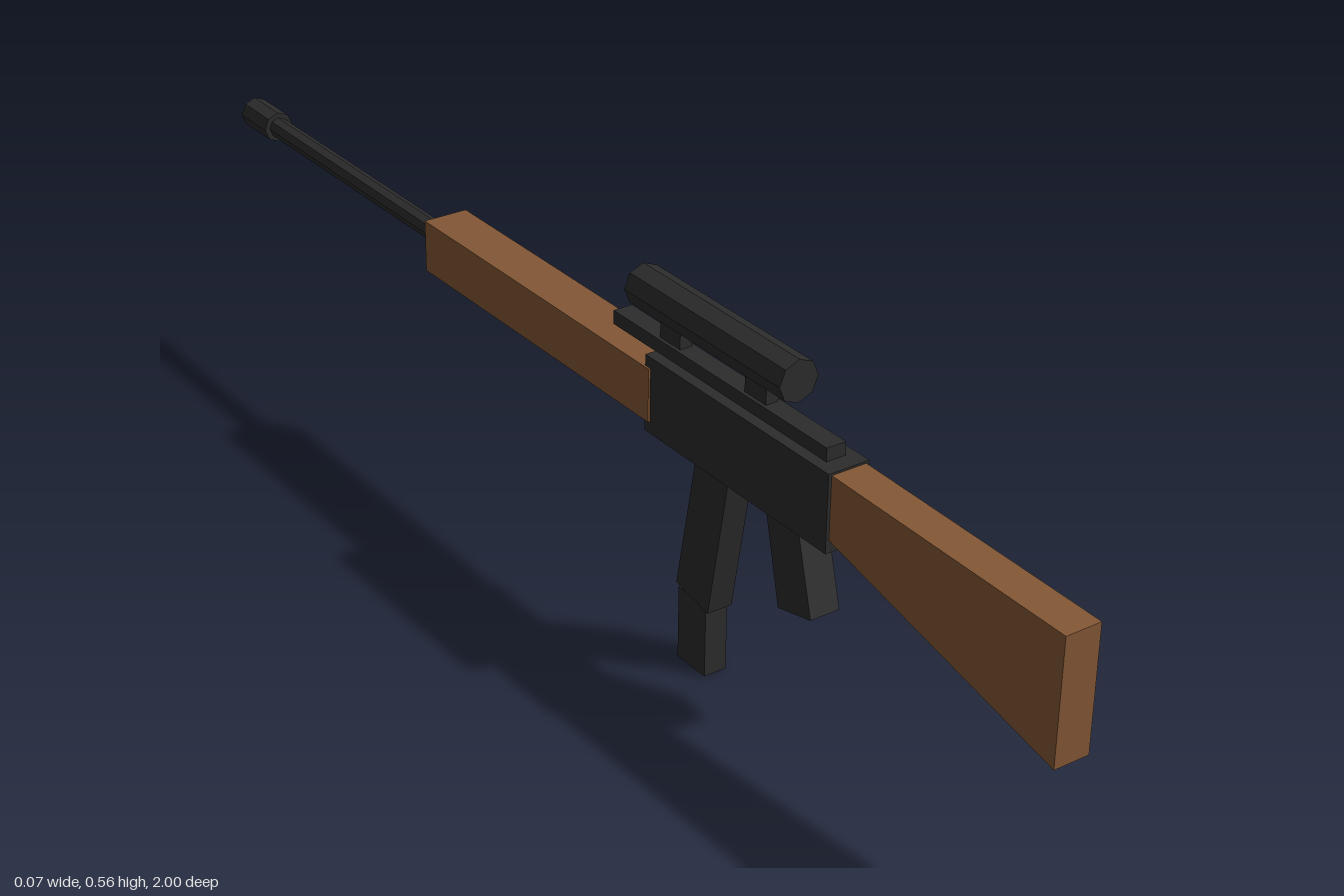
import * as THREE from 'three';

export function createModel() {
  const group = new THREE.Group();
  const material = (name, color) => {
    const m = new THREE.MeshStandardMaterial({ color });
    m.name = name;
    return m;
  };
  const wood = material('wood', 0x835735);
  const metal = material('darkMetal', 0x2c2c2d);

  const add = (name, geometry, mat) => {
    const mesh = new THREE.Mesh(geometry, mat);
    mesh.name = name;
    group.add(mesh);
    return mesh;
  };

  // Box given by its width and its extents in y and z
  const box = (name, mat, width, y0, y1, z0, z1) =>
    add(name, new THREE.BoxGeometry(width, y1 - y0, z1 - z0), mat)
      .position.set(0, (y0 + y1) / 2, (z0 + z1) / 2);

  // Side outline of [z, y] points, extruded evenly across x
  const slab = (name, mat, width, points) => {
    const shape = new THREE.Shape(points.map(([z, y]) => new THREE.Vector2(z, y)));
    const geometry = new THREE.ExtrudeGeometry(shape, { depth: width, bevelEnabled: false });
    geometry.translate(0, 0, -width / 2).rotateY(-Math.PI / 2);
    add(name, geometry, mat);
  };

  // Faceted eight-sided tube along z
  const tube = (name, radius, y, z0, z1) => {
    const flat = new THREE.CylinderGeometry(radius, radius, z1 - z0, 8).rotateX(Math.PI / 2).toNonIndexed();
    flat.computeVertexNormals();
    add(name, flat, metal).position.set(0, y, (z0 + z1) / 2);
  };

  // Wooden furniture
  slab('stock', wood, 0.056, [[1, 0.257], [1, 0.445], [0.56, 0.454], [0.56, 0.36]]);
  box('handguard', wood, 0.072, 0.358, 0.44, -0.4, 0.18);

  // Body, top rail and barrel
  box('receiver', metal, 0.066, 0.34, 0.457, 0.168, 0.567);
  box('rail', metal, 0.031, 0.456, 0.477, 0.067, 0.54);
  tube('barrel', 0.0165, 0.402, -0.95, -0.39);
  tube('muzzle', 0.025, 0.402, -1, -0.92);

  // Scope on two mounts
  for (const z of [0.193, 0.383]) box('scopeMount', metal, 0.02, 0.475, 0.515, z - 0.023, z + 0.023);
  tube('scope', 0.0315, 0.533, 0.115, 0.46);

  // Slanted grip and two-part magazine
  slab('grip', metal, 0.048, [[0.532, 0.218], [0.497, 0.35], [0.428, 0.35], [0.463, 0.202]]);
  slab('magazineUpper', metal, 0.041, [[0.304, 0.108], [0.346, 0.35], [0.272, 0.35], [0.23, 0.122]]);
  box('magazineLower', metal, 0.037, 0, 0.115, 0.233, 0.297);

  return group;
}
